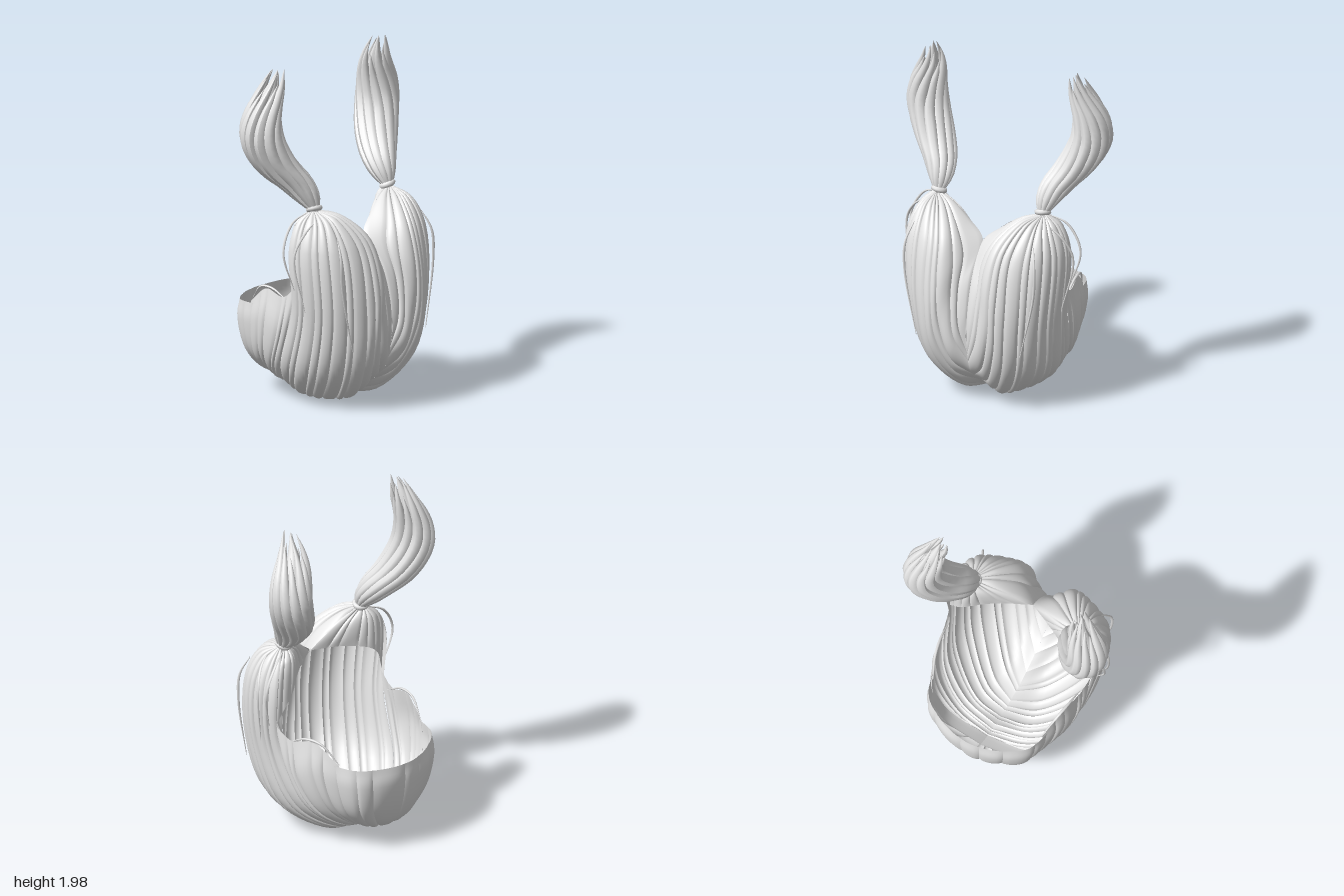
import * as THREE from 'three';

const hair = new THREE.MeshStandardMaterial({ color: 0xe7e7e7, side: THREE.DoubleSide });
hair.name = 'hair light grey';

const curve = (pts, s = 1) =>
  new THREE.CatmullRomCurve3(pts.map(p => new THREE.Vector3(p[0] * s, p[1], p[2])));

// Mesh from a grid of points, rows x cols; flip reverses the winding
function gridMesh(name, rows, flip = false) {
  const cols = rows[0].length, pos = [], idx = [];
  rows.forEach(r => r.forEach(p => pos.push(p.x, p.y, p.z)));
  for (let i = 0; i < rows.length - 1; i++)
    for (let j = 0; j < cols - 1; j++) {
      const a = i * cols + j, b = a + 1, c = a + cols, d = c + 1;
      if (flip) idx.push(a, b, c, b, d, c);
      else idx.push(a, c, b, b, c, d);
    }
  const g = new THREE.BufferGeometry();
  g.setAttribute('position', new THREE.Float32BufferAttribute(pos, 3));
  g.setIndex(idx);
  g.computeVertexNormals();
  const m = new THREE.Mesh(g, hair);
  m.name = name;
  return m;
}

// Sheet lofted across guide curves, cut into bulging strands of uneven width
function strands(name, guides, s, count, centre, bulge, nv) {
  const group = new THREE.Group();
  group.name = name;
  const paths = guides.map(g => curve(g, s));
  const mid = new THREE.Vector3(centre[0] * s, centre[1], centre[2]);
  const lines = [];
  for (let i = 0; i <= nv; i++)
    lines.push(new THREE.CatmullRomCurve3(paths.map(p => p.getPoint(i / nv))));
  const n = 8;
  const cut = k => (k === 0 || k === count) ? k / count : (k + 0.22 * Math.sin(k * 2.4)) / count;
  for (let k = 0; k < count; k++) {
    let facing = 0;
    const rows = lines.map((line, i) => {
      const row = [];
      const step = i < nv ? 1 : -1, other = lines[i + step];
      for (let j = 0; j <= n; j++) {
        const u = THREE.MathUtils.lerp(cut(k), cut(k + 1), j / n);
        const p = line.getPoint(u);
        const a = line.getPoint(Math.min(1, u + 0.02)).sub(line.getPoint(Math.max(0, u - 0.02)));
        const b = other.getPoint(u).sub(p).multiplyScalar(step);
        const nor = b.cross(a).normalize();
        const out = nor.dot(p.clone().sub(mid)) < 0 ? -1 : 1;
        facing += out;
        const fade = Math.min(1, 5 * Math.min(i / nv, 1 - i / nv) + 0.2);
        const lift = bulge * (Math.sqrt(Math.sin(Math.PI * j / n) + 1e-6) - 0.4);
        row.push(p.addScaledVector(nor, out * lift * fade));
      }
      return row;
    });
    group.add(gridMesh(name + 'Strand', rows, facing < 0));
  }
  return group;
}

// Tapering lock swept along a curve
function lock(name, path, radius, sides = 8, n = 24) {
  const f = path.computeFrenetFrames(n, false), rows = [];
  for (let i = 0; i <= n; i++) {
    const c = path.getPoint(i / n), r = radius(i / n), row = [];
    for (let j = 0; j <= sides; j++) {
      const a = j / sides * Math.PI * 2;
      row.push(c.clone().addScaledVector(f.normals[i], Math.cos(a) * r)
        .addScaledVector(f.binormals[i], Math.sin(a) * r));
    }
    rows.push(row);
  }
  return gridMesh(name, rows, true);
}

// Guides for the front bulb: from the tie, round the front and side, in to the centre seam
const front = [
  [[.32, 1.18, .16], [.22, 1.15, .18], [.1, 1.075, .21], [0, .99, .25], [0, .84, .375], [0, .65, .437], [0, .46, .455]],
  [[.325, 1.18, .18], [.25, 1.15, .28], [.17, 1.03, .41], [.14, .84, .48], [.13, .6, .495], [.09, .37, .475], [0, .24, .4]],
  [[.335, 1.18, .19], [.31, 1.14, .3], [.28, .98, .42], [.275, .62, .47], [.235, .29, .425], [.11, .08, .27], [0, .06, .14]],
  [[.345, 1.18, .18], [.385, 1.125, .28], [.42, .97, .35], [.4, .58, .37], [.33, .23, .28], [.15, .035, .09], [0, .045, 0]],
  [[.355, 1.18, .165], [.42, 1.12, .19], [.48, .97, .21], [.455, .58, .215], [.38, .21, .1], [.17, .045, -.06], [0, .05, -.1]],
  [[.35, 1.18, .15], [.42, 1.12, .1], [.47, .97, .08], [.45, .62, .085], [.38, .26, -.05], [.18, .1, -.16], [0, .085, -.19]]];

// Short guides behind the hair tie
const hood = [
  [[.32, 1.18, .16], [.17, 1.125, .19], [0, .99, .25]],
  [[.33, 1.18, .14], [.26, 1.12, .13], [.21, .97, .15]],
  [[.33, 1.18, .13], [.34, 1.12, .08], [.35, .92, .07]],
  [[.34, 1.18, .14], [.43, 1.1, .09], [.45, .75, .1]]];

// Side sweep toward the gathering point under the cup
const side = [
  [[.45, .74, .11], [.44, .5, .05], [.38, .26, -.05], [.2, .11, -.15], [0, .085, -.19]],
  [[.43, .67, .01], [.435, .45, -.03], [.37, .25, -.12], [.22, .13, -.2], [0, .09, -.24]],
  [[.4, .69, -.13], [.415, .5, -.15], [.35, .28, -.2], [.2, .15, -.25], [0, .1, -.27]],
  [[.355, .58, -.28], [.355, .45, -.29], [.3, .25, -.3], [.16, .14, -.3], [0, .1, -.29]]];

// Fringe cup, side to middle
const cup = [
  [[.37, .575, -.25], [.365, .45, -.26], [.31, .27, -.27], [.17, .14, -.27], [.02, .1, -.26]],
  [[.32, .565, -.38], [.32, .45, -.39], [.275, .27, -.375], [.155, .14, -.34], [.015, .1, -.27]],
  [[.17, .555, -.475], [.175, .45, -.485], [.145, .27, -.45], [.08, .14, -.385], [.005, .1, -.28]],
  [[0, .55, -.51], [0, .44, -.515], [0, .28, -.485], [0, .15, -.41], [0, .1, -.28]]];

// Inner ends of the side sweep, tucked inside the cup
const lining = [
  [[.32, .45, -.36], [.22, .23, -.36], [0, .16, -.36]],
  [[.345, .4, -.28], [.24, .19, -.28], [0, .11, -.28]]];

// Pigtail: locks spread round a curved core, each with its own tip
function pigtail(s) {
  const g = new THREE.Group();
  g.name = 'pigtail';
  const core = curve([[.33, 1.18, .16], [.355, 1.3, .08], [.45, 1.44, -.02], [.52, 1.6, -.07],
    [.515, 1.74, -.07], [.475, 1.87, -.045], [.455, 2.0, -.005]], s);
  const spread = t => 0.012 + 0.068 * Math.pow(Math.sin(Math.PI * Math.pow(t, 0.85)), 0.8) + 0.022 * t * t;
  for (let k = 0; k < 11; k++) {
    const end = [1, .89, .97, .86, .94][k % 5], pts = [];
    for (let i = 0; i <= 9; i++) {
      const t = i / 9 * end, c = core.getPoint(t);
      const a = k / 11 * Math.PI * 2 + t * 1.5 * s, r = spread(t);
      pts.push(new THREE.Vector3(c.x + Math.cos(a) * r, c.y + 0.15 * Math.sin(a) * r, c.z + Math.sin(a) * r * 1.15));
    }
    g.add(lock('pigtailLock', new THREE.CatmullRomCurve3(pts),
      t => 0.001 + 0.036 * Math.pow(Math.sin(Math.PI * Math.min(1, 0.1 + 0.9 * t)), 0.9)));
  }
  g.add(lock('pigtailCore', core, t => 0.021 + 0.06 * Math.sin(Math.PI * t) - 0.02 * t, 10));
  const tie = new THREE.Mesh(new THREE.TorusGeometry(.032, .016, 8, 20), hair);
  tie.name = 'hairTie';
  tie.position.set(.33 * s, 1.19, .155);
  tie.rotation.set(Math.PI / 2 - 0.35, 0.15 * s, 0);
  g.add(tie);
  return g;
}

// Thin loose hairs
const loose = [
  [[.36, 1.17, .13], [.46, 1.12, .1], [.54, .97, .1], [.48, .74, .13]],
  [[.38, 1.15, .22], [.47, 1.08, .2], [.53, .95, .17], [.47, .62, .2]],
  [[.38, 1.06, .36], [.41, .95, .41], [.41, .78, .42], [.33, .4, .43]],
  [[.42, .65, .03], [.41, .7, -.08], [.39, .69, -.18], [.35, .58, -.28]]];

export function createModel() {
  const model = new THREE.Group();
  model.name = 'pigtailHair';
  for (const s of [1, -1]) {
    const half = new THREE.Group();
    half.name = s > 0 ? 'leftHalf' : 'rightHalf';
    half.add(strands('frontBulb', front, s, 13, [.15, .5, .05], 0.012, 36));
    half.add(strands('hood', hood, s, 7, [.28, .9, .22], 0.009, 12));
    half.add(strands('sideSweep', side, s, 5, [0, .5, 0], 0.011, 20));
    half.add(strands('lining', lining, s, 1, [0, .6, -.1], 0.003, 14));
    half.add(pigtail(s));
    for (const pts of loose)
      half.add(lock('looseHair', curve(pts, s), t => 0.002 + 0.006 * Math.sin(Math.PI * t), 5));
    model.add(half);
  }
  const mirrored = cup.slice(0, 3).reverse().map(c => c.map(p => [-p[0], p[1], p[2]]));
  model.add(strands('fringeCup', [...cup, ...mirrored], 1, 7, [0, .5, -.1], 0.011, 20));
  return model;
}
